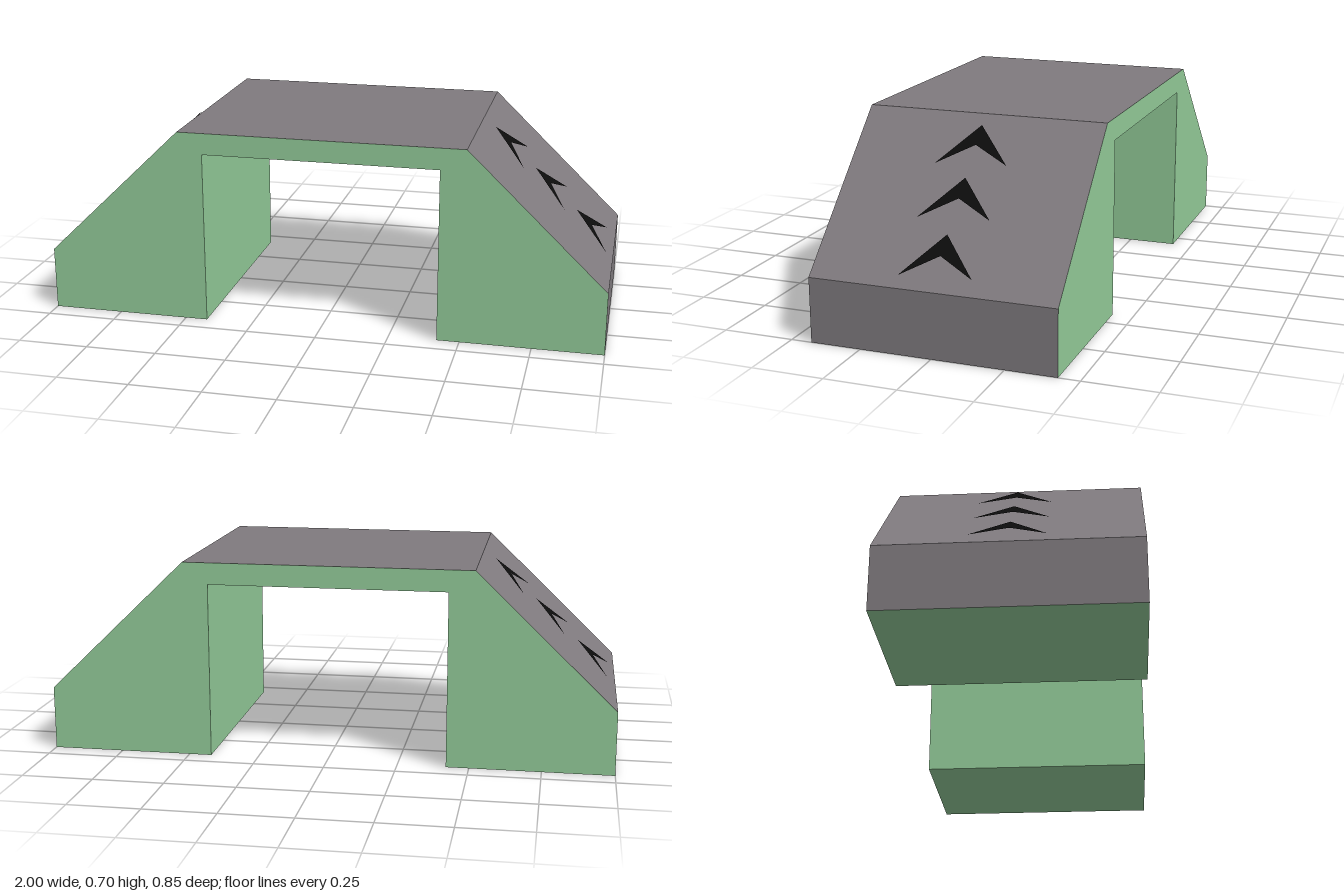
import * as THREE from 'three';

const HALF_DEPTH = 0.427;
const FOOT = [1, 0.225], CREST = [0.51, 0.697]; // lower and upper end of a ramp

const material = (color) => new THREE.MeshStandardMaterial({ color, flatShading: true, side: THREE.DoubleSide });

function addMesh(parent, name, geometry, mat) {
  const mesh = new THREE.Mesh(geometry, mat);
  mesh.name = name;
  parent.add(mesh);
  return mesh;
}

// Flat panels swept across the full depth along a path of [x, y] points (path runs clockwise)
function strip(path) {
  const pos = [];
  const d = HALF_DEPTH;
  for (let i = 0; i < path.length - 1; i++) {
    const [ax, ay] = path[i], [bx, by] = path[i + 1];
    pos.push(ax, ay, d, bx, by, d, bx, by, -d, ax, ay, d, bx, by, -d, ax, ay, -d);
  }
  const g = new THREE.BufferGeometry();
  g.setAttribute('position', new THREE.Float32BufferAttribute(pos, 3));
  g.computeVertexNormals();
  return g;
}

export function createModel() {
  const model = new THREE.Group();
  model.name = 'rampBridge';
  const green = material(0x92ca98);
  const grey = material(0x7f7a7e);
  const black = material(0x0c0c0c);

  // Outline: over the top from left to right, then back along the underside
  const over = [[-1, 0], [-FOOT[0], FOOT[1]], [-CREST[0], CREST[1]], CREST, FOOT, [1, 0]];
  const under = [[1, 0], [0.42, 0], [0.42, 0.62], [-0.42, 0.62], [-0.42, 0], [-1, 0]];

  // Side walls
  const outline = new THREE.Shape([...over, ...under.slice(1, -1)].map(([x, y]) => new THREE.Vector2(x, y)));
  addMesh(model, 'frontWall', new THREE.ShapeGeometry(outline).translate(0, 0, HALF_DEPTH), green);
  const back = new THREE.ShapeGeometry(outline).rotateY(Math.PI).translate(0, 0, -HALF_DEPTH);
  addMesh(model, 'backWall', back, green);

  // Road surface with its end faces, and the arch underside
  addMesh(model, 'roadSurface', strip(over), grey);
  addMesh(model, 'underside', strip(under), green);

  // Arrow markings, hovering just over each ramp and pointing uphill
  const arrow = new THREE.Shape([[0.003, 0], [-0.12, -0.163], [0.003, -0.079], [0.13, -0.149]]
    .map(([x, y]) => new THREE.Vector2(x, y)));
  const across = new THREE.Vector3(0, 0, -1);
  const uphill = new THREE.Vector3(CREST[0] - FOOT[0], CREST[1] - FOOT[1], 0).normalize();
  const normal = across.clone().cross(uphill);
  const toRamp = new THREE.Matrix4().makeBasis(across, uphill, normal)
    .setPosition(FOOT[0] + normal.x * 0.01, FOOT[1] + normal.y * 0.01, 0);
  for (const side of [1, -1]) {
    const arrows = new THREE.Group();
    arrows.name = side > 0 ? 'leftArrows' : 'rightArrows';
    arrows.scale.x = side;
    for (const tip of [0.205, 0.419, 0.627]) {
      addMesh(arrows, 'arrow', new THREE.ShapeGeometry(arrow).translate(0, tip, 0).applyMatrix4(toRamp), black);
    }
    model.add(arrows);
  }
  return model;
}
